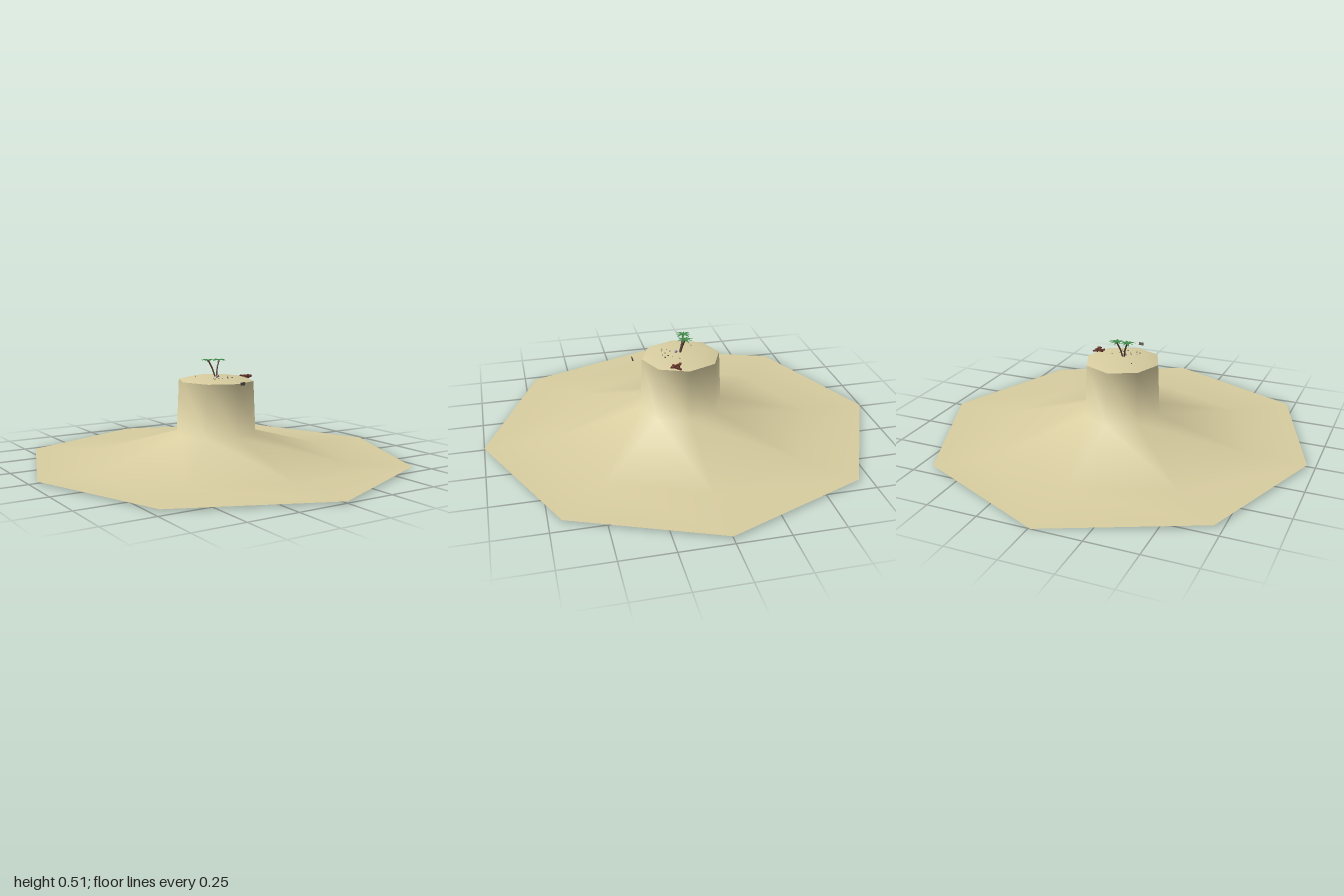
import * as THREE from 'three';

const mat = (color, extra = {}) => new THREE.MeshStandardMaterial({ color, ...extra });
const SAND = mat(0xd8cda0, { side: THREE.DoubleSide });
const BARK = mat(0x5a4030, { flatShading: true });
const LEAF = mat(0x3f8a4a, { side: THREE.DoubleSide });
const WOOD = mat(0x6b3a2e, { flatShading: true });
const STONE = mat(0x5f5a50, { flatShading: true });
const SHELL = mat(0x8078a8, { flatShading: true });

function add(parent, name, geometry, material, pos = [0, 0, 0], rot = [0, 0, 0]) {
  const m = new THREE.Mesh(geometry, material);
  m.name = name;
  m.position.set(...pos);
  m.rotation.set(...rot);
  parent.add(m);
  return m;
}

// Octagonal ring of points; radii along x and z, corners on the axes
const ring = (rx, rz, y, cx = -0.01) => Array.from({ length: 8 }, (_, i) => {
  const a = i * Math.PI / 4;
  return [cx + Math.sin(a) * rx, y, Math.cos(a) * rz];
});

// Skin a stack of equal rings with smooth normals
function loft(rings) {
  const n = rings[0].length, index = [];
  for (let r = 0; r < rings.length - 1; r++) {
    for (let i = 0; i < n; i++) {
      const a = r * n + i, b = r * n + (i + 1) % n;
      index.push(a, b, a + n, b, b + n, a + n);
    }
  }
  const g = new THREE.BufferGeometry();
  g.setAttribute('position', new THREE.Float32BufferAttribute(rings.flat(2), 3));
  g.setIndex(index);
  g.computeVertexNormals();
  return g;
}

// Narrow leaf that rises a little and droops at the tip, pointing along +z
function frondGeometry(length, width) {
  const g = new THREE.PlaneGeometry(width, length, 2, 4);
  g.rotateX(Math.PI / 2);
  g.translate(0, 0, length / 2);
  const p = g.attributes.position;
  for (let i = 0; i < p.count; i++) {
    const t = p.getZ(i) / length;
    const w = Math.sin(Math.PI * (0.12 + 0.86 * t));
    const x = p.getX(i) * w;
    p.setXYZ(i, x, length * (0.55 * t - 0.6 * t * t) - Math.abs(x) * 0.5, p.getZ(i));
  }
  g.computeVertexNormals();
  return g;
}

function palm(name, base, top, turn) {
  const g = new THREE.Group();
  g.name = name;
  const a = new THREE.Vector3(...base), b = new THREE.Vector3(...top);
  const mid = a.clone().lerp(b, 0.5).add(new THREE.Vector3((a.x - b.x) * 0.15, 0, 0));
  const curve = new THREE.CatmullRomCurve3([a, mid, b]);
  add(g, 'trunk', new THREE.TubeGeometry(curve, 6, 0.0042, 6), BARK);
  const frond = frondGeometry(0.043, 0.012);
  for (let i = 0; i < 8; i++) {
    const leaf = add(g, 'frond', frond, LEAF, top, [0, turn + i * Math.PI / 4, 0]);
    leaf.scale.setScalar(i % 2 ? 0.85 : 1);
  }
  for (let i = 0; i < 3; i++) {
    const t = turn + i * 2.1;
    add(g, 'coconut', new THREE.IcosahedronGeometry(0.003, 0), BARK,
      [top[0] + Math.sin(t) * 0.005, top[1] - 0.004, top[2] + Math.cos(t) * 0.005]);
  }
  return g;
}

export function createModel() {
  const model = new THREE.Group();
  model.name = 'island';

  // Outer sea bed edge, front corner first and then round by +x
  const rim = [[0, 0.008, 1], [0.68, 0.008, 0.69], [0.96, 0.008, 0], [0.68, 0.008, -0.69],
    [-0.01, 0, -1], [-0.71, 0.008, -0.69], [-0.96, 0.008, 0], [-0.71, 0.008, 0.69]];
  add(model, 'slopeAndCliff', loft([
    rim,
    ring(0.655, 0.67, 0.012),
    ring(0.2, 0.21, 0.14),
    ring(0.188, 0.198, 0.405),
  ]), SAND);

  // Gently domed top of the island
  add(model, 'islandTop', loft([
    ring(0.188, 0.198, 0.405),
    ring(0.13, 0.135, 0.42),
    ring(0.0005, 0.0005, 0.424),
  ]), SAND);

  // Pair of leaning palms
  model.add(palm('leftPalm', [-0.008, 0.42, 0.004], [0.018, 0.502, -0.015], 0.2));
  model.add(palm('rightPalm', [-0.016, 0.42, 0.004], [-0.042, 0.504, -0.02], 0.55));

  // Heap of driftwood by the edge
  const wood = new THREE.Group();
  wood.name = 'driftwood';
  wood.position.set(0.145, 0.418, 0.055);
  model.add(wood);
  [[0, 0, 0, 0.5, 0.062], [-0.012, 0.002, -0.012, -0.6, 0.045], [0.008, 0.004, 0.012, 1.2, 0.04],
    [-0.004, 0.007, 0.003, 2.3, 0.042]].forEach(([x, y, z, turn, len]) => {
    add(wood, 'plank', new THREE.BoxGeometry(len, 0.006, 0.011), WOOD, [x, y, z], [0.1, turn, -0.12]);
  });
  add(wood, 'stump', new THREE.CylinderGeometry(0.007, 0.009, 0.016, 6), WOOD, [0.008, 0.002, -0.005], [0.4, 0, 0.4]);

  // Shell at the foot of the palms
  add(model, 'shell', new THREE.IcosahedronGeometry(0.008, 0), SHELL, [-0.013, 0.426, 0.024]);

  // Scattered pebbles
  [[-0.062, 0.062], [-0.05, 0.09], [-0.035, 0.05], [-0.02, 0.078], [0, 0.095], [0.015, 0.07],
    [0.028, 0.05], [-0.068, 0.085], [0.03, 0.088], [-0.085, -0.07], [0.055, 0.02]].forEach(([x, z], i) => {
    const s = 0.003 + (i % 3) * 0.001;
    add(model, 'pebble', new THREE.DodecahedronGeometry(s, 0), STONE, [x, 0.421, z], [i, i * 2, 0]);
  });

  // Small chip hanging just off the front edge
  add(model, 'looseStone', new THREE.BoxGeometry(0.024, 0.014, 0.006), STONE, [-0.012, 0.412, 0.245], [0.2, 0, 0]);

  return model;
}
